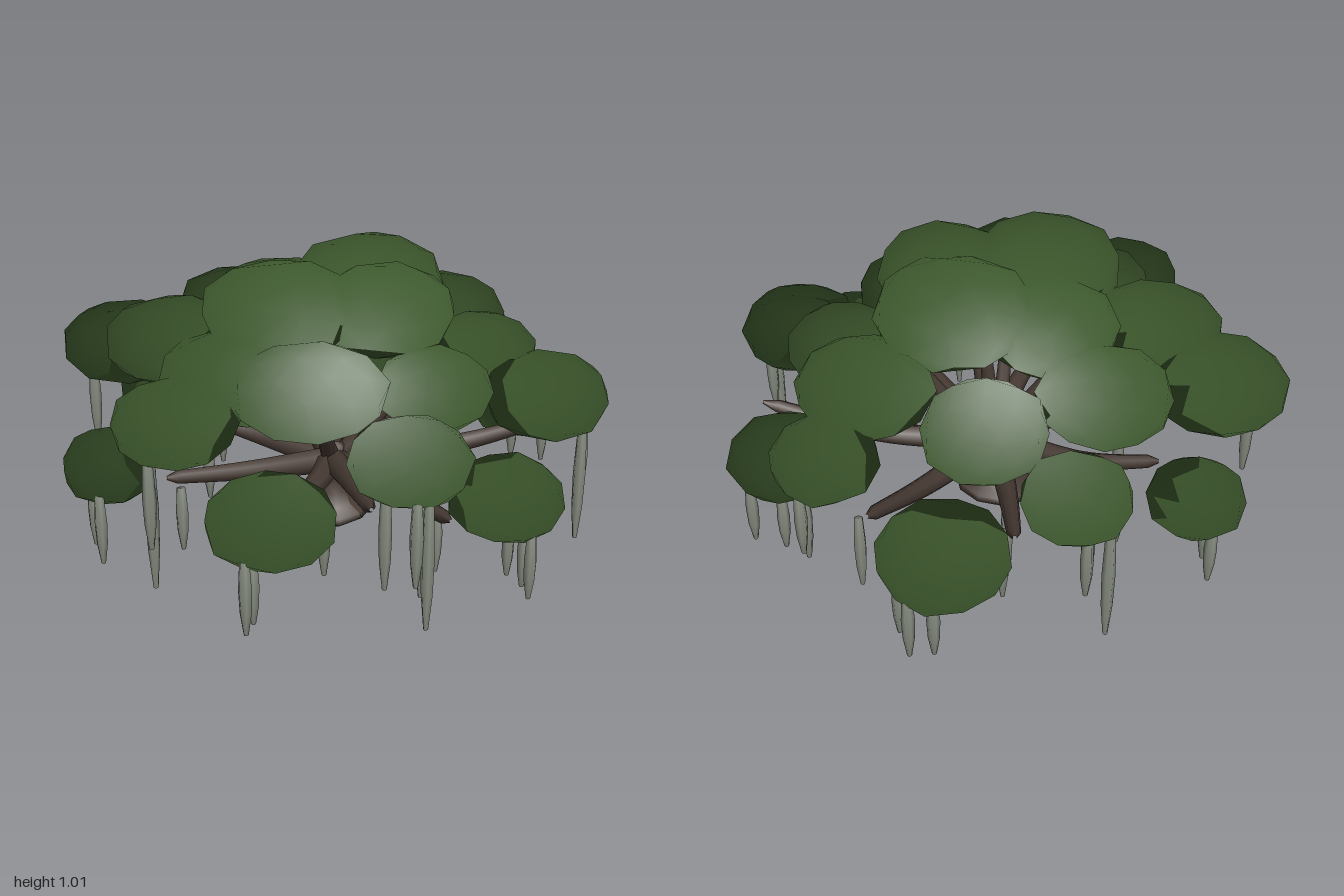
import * as THREE from 'three';

const mat = (name, color) => {
  const m = new THREE.MeshStandardMaterial({ color });
  m.name = name;
  return m;
};

// Tapered limb with a blunt tip, following a smooth curve through a few points
function limb(points, r0, r1, sides = 7) {
  const curve = new THREE.CatmullRomCurve3(points.map(p => new THREE.Vector3(...p)));
  const steps = 16;
  const geo = new THREE.TubeGeometry(curve, steps, 1, sides);
  const pos = geo.attributes.position, v = new THREE.Vector3();
  for (let i = 0; i <= steps; i++) {
    const c = curve.getPointAt(i / steps);
    const r = i === steps ? r1 * 0.3 : THREE.MathUtils.lerp(r0, r1, i / steps);
    for (let j = 0; j <= sides; j++) {
      const k = i * (sides + 1) + j;
      v.fromBufferAttribute(pos, k).sub(c).multiplyScalar(r).add(c);
      pos.setXYZ(k, v.x, v.y, v.z);
    }
  }
  return geo;
}

// Squashed, full-shouldered leaf clump; normals fan out from the crown so clumps blend together
const crownCentre = new THREE.Vector3(0, 0.33, 0);
function clump(x, y, z, r, ry, turn) {
  const geo = new THREE.IcosahedronGeometry(1, 1);
  geo.rotateX(turn * 0.4).rotateY(turn);
  const pos = geo.attributes.position, nor = geo.attributes.normal, v = new THREE.Vector3();
  for (let i = 0; i < pos.count; i++) {
    v.fromBufferAttribute(pos, i);
    const lump = 1.02 + 0.035 * Math.sin(5 * v.x + turn) * Math.cos(4 * v.z - turn);
    v.y = Math.sign(v.y) * Math.abs(v.y) ** 0.85;
    v.multiplyScalar(lump);
    pos.setXYZ(i, x + v.x * r, y + v.y * ry, z + v.z * r);
    v.fromBufferAttribute(pos, i).sub(crownCentre).normalize();
    nor.setXYZ(i, v.x, v.y, v.z);
  }
  return geo;
}

export function createModel() {
  const tree = new THREE.Group();
  tree.name = 'tree';
  const bark = mat('bark brown', 0x483b34);
  const leaf = mat('leaf green', 0x3d582d);
  const moss = mat('moss grey', 0x868c80);
  const add = (name, geo, material, parent = tree) => {
    const m = new THREE.Mesh(geo, material);
    m.name = name;
    parent.add(m);
    return m;
  };
  const group = name => {
    const g = new THREE.Group();
    g.name = name;
    tree.add(g);
    return g;
  };

  // Flared trunk, its foot slightly tilted
  const profile = [[0, 0], [0.148, 0], [0.135, 0.018], [0.09, 0.045], [0.068, 0.09], [0.06, 0.14], [0.066, 0.2], [0.05, 0.27], [0, 0.29]];
  const trunkGeo = new THREE.LatheGeometry(profile.map(p => new THREE.Vector2(...p)), 10);
  const tp = trunkGeo.attributes.position;
  for (let i = 0; i < tp.count; i++) {
    const fade = Math.max(0, 1 - tp.getY(i) / 0.1);
    tp.setY(i, tp.getY(i) + 0.022 + fade * (0.1 * tp.getX(i) + 0.07 * tp.getZ(i)));
  }
  trunkGeo.computeVertexNormals();
  add('trunk', trunkGeo, bark);

  // Spreading boughs: middle point, then tip
  const branches = group('branches');
  [
    [[0.32, 0.27, 0.3], [0.59, 0.39, 0.6]],
    [[0.4, 0.28, -0.08], [0.81, 0.45, -0.23]],
    [[-0.08, 0.25, 0.35], [-0.2, 0.28, 0.7]],
    [[-0.25, 0.25, 0.15], [-0.62, 0.27, 0.3]],
    [[-0.22, 0.3, 0.28], [-0.45, 0.37, 0.58]],
    [[-0.3, 0.25, -0.1], [-0.6, 0.28, -0.22]],
    [[-0.08, 0.26, -0.35], [-0.2, 0.32, -0.6]],
    [[0.25, 0.28, -0.3], [0.52, 0.4, -0.59]],
  ].forEach(p => add('bough', limb([[0, 0.225, 0], ...p], 0.05, 0.022), bark, branches));

  // Upright limbs that carry the crown
  [
    [[-0.12, 0.36, 0.08], [-0.24, 0.57, 0.17]],
    [[0.1, 0.36, 0.1], [0.2, 0.56, 0.2]],
    [[-0.06, 0.38, -0.08], [-0.13, 0.55, -0.17]],
    [[0.02, 0.4, 0], [0.03, 0.7, 0.03]],
  ].forEach(p => add('upright limb', limb([[0, 0.22, 0], ...p], 0.036, 0.018), bark, branches));

  // Leaf clumps: x, y, z, radius, half height
  const foliage = group('foliage');
  [
    // top of the crown
    [-0.255, 0.855, 0, 0.265, 0.15], [0.22, 0.86, -0.02, 0.27, 0.155],
    [0.01, 0.84, 0.24, 0.235, 0.15], [-0.02, 0.79, -0.24, 0.23, 0.145],
    // middle ring
    [-0.47, 0.67, 0, 0.25, 0.14], [-0.43, 0.685, 0.3, 0.25, 0.14],
    [-0.05, 0.64, 0.5, 0.19, 0.13], [0.38, 0.63, 0.37, 0.2, 0.135],
    [0.55, 0.68, 0.06, 0.23, 0.14], [0.43, 0.65, -0.37, 0.205, 0.145],
    [0.06, 0.69, -0.55, 0.22, 0.14], [-0.39, 0.69, -0.4, 0.235, 0.145],
    // outer ring
    [-0.76, 0.6, 0.03, 0.2, 0.13], [-0.4, 0.55, 0.69, 0.19, 0.13],
    [0.33, 0.56, 0.69, 0.21, 0.14], [0.79, 0.55, -0.01, 0.175, 0.13],
    [0.385, 0.55, -0.72, 0.175, 0.12], [-0.36, 0.61, -0.7, 0.235, 0.14],
    // low hanging ring
    [-0.06, 0.35, 0.81, 0.185, 0.13], [0.71, 0.345, 0.33, 0.195, 0.13],
    [0.69, 0.345, -0.44, 0.215, 0.14], [-0.1, 0.34, -0.83, 0.165, 0.115],
    [-0.76, 0.35, -0.32, 0.155, 0.125], [-0.69, 0.35, 0.38, 0.205, 0.135],
  ].forEach((c, i) => add('leaf clump', clump(...c, i * 1.3), leaf, foliage));

  // Hanging moss strands: x, z, top, bottom
  const strands = group('hangingMoss');
  const strandProfile = [[0, 0], [0.008, 0.01], [0.019, 0.3], [0.022, 0.6], [0.016, 1], [0, 1]]
    .map(p => new THREE.Vector2(...p));
  const strandGeo = new THREE.LatheGeometry(strandProfile, 6);
  const low = 0.05;
  [
    // under the low clumps
    [-0.1, 0.94, 0.28, low], [-0.05, 0.88, 0.27, low], [-0.02, 0.8, 0.27, low],
    [0.8, 0.24, 0.27, low], [0.85, 0.35, 0.28, low],
    [0.86, -0.46, 0.3, low], [0.8, -0.51, 0.28, low], [0.81, -0.36, 0.27, low],
    [-0.16, -0.84, 0.28, low], [-0.08, -0.92, 0.28, low],
    [-0.87, -0.24, 0.3, low], [-0.8, -0.37, 0.28, low],
    [-0.86, 0.44, 0.3, low], [-0.8, 0.41, 0.28, low],
    // under the outer clumps
    [-0.5, 0.8, 0.48, 0.2], [-0.47, 0.82, 0.47, low], [-0.45, 0.78, 0.47, 0.14],
    [0.36, 0.82, 0.46, low], [0.4, 0.8, 0.46, 0.2],
    [0.91, -0.02, 0.48, 0.24], [0.85, 0.04, 0.46, 0.2], [0.83, 0.07, 0.47, 0.22], [0.87, 0.01, 0.46, 0.18],
    [-0.9, 0.06, 0.52, 0.22], [-0.86, 0.02, 0.52, low],
    [0.42, -0.8, 0.47, 0.23], [0.38, -0.77, 0.47, 0.25], [0.36, -0.84, 0.47, low],
    [-0.47, -0.77, 0.53, 0.23],
    // from the boughs
    [-0.16, 0.61, 0.28, low], [-0.43, 0.36, 0.31, low], [-0.37, 0.57, 0.4, low],
    [-0.28, -0.36, 0.27, low], [-0.62, -0.12, 0.28, low], [-0.02, -0.57, 0.27, low],
    [0.38, -0.42, 0.32, low], [0.46, -0.48, 0.33, low], [0.28, -0.33, 0.27, low],
    [0.75, -0.11, 0.34, 0.06],
  ].forEach(([x, z, top, bottom], i) => {
    const s = add('moss strand', strandGeo, moss, strands);
    s.position.set(x, bottom, z);
    s.scale.y = top - bottom;
    s.rotation.y = i;
  });
  return tree;
}
